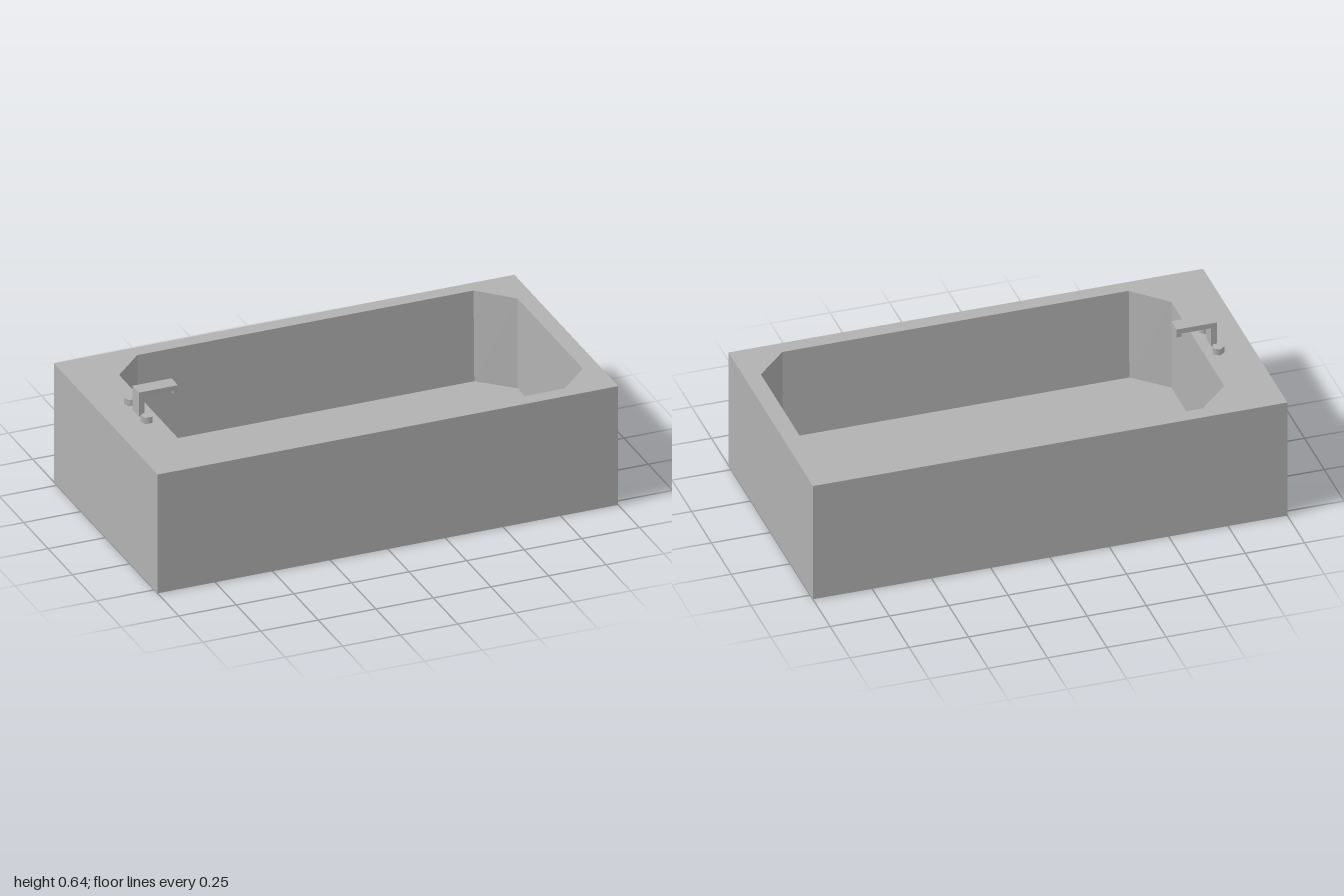
import * as THREE from 'three';

const HEIGHT = 0.533, FLOOR = 0.13;

// Outlines in plan, counter-clockwise, as [x, -z]
const outer = [[-1, -0.533], [1, -0.533], [1, 0.533], [-1, 0.533]];
const basin = (halfWidth) => [
  [-0.665, -halfWidth], [0.795, -halfWidth], [0.93, -0.335], [0.93, 0.335],
  [0.795, halfWidth], [-0.665, halfWidth], [-0.8, 0.335], [-0.8, -0.335],
];
const basinTop = basin(0.468), basinBottom = basin(0.46);

// Wall of flat quads between two outlines
function wall(lower, y0, upper, y1) {
  const pos = [];
  lower.forEach((_, i) => {
    const j = (i + 1) % lower.length;
    const a = [lower[i][0], y0, -lower[i][1]], b = [lower[j][0], y0, -lower[j][1]];
    const c = [upper[j][0], y1, -upper[j][1]], d = [upper[i][0], y1, -upper[i][1]];
    pos.push(...a, ...b, ...c, ...a, ...c, ...d);
  });
  const geo = new THREE.BufferGeometry();
  geo.setAttribute('position', new THREE.Float32BufferAttribute(pos, 3));
  geo.computeVertexNormals();
  return geo;
}

const toShape = (pts) => new THREE.Shape(pts.map(([x, y]) => new THREE.Vector2(x, y)));

// Horizontal plate facing up, or down when flipped
function plate(shape, y, flip = false) {
  return new THREE.ShapeGeometry(shape).rotateX(flip ? Math.PI / 2 : -Math.PI / 2).translate(0, y, 0);
}

export function createModel() {
  const group = new THREE.Group();
  const grey = new THREE.MeshStandardMaterial({ color: 0xb2b2b2 });
  grey.name = 'grey';
  const add = (name, geo) => {
    const mesh = new THREE.Mesh(geo, grey);
    mesh.name = name;
    group.add(mesh);
    return mesh;
  };

  // Tub body
  add('outerPanels', wall(outer, 0, outer, HEIGHT));
  add('base', plate(toShape(outer), 0, true));
  const rim = toShape(outer);
  rim.holes.push(toShape(basinTop));
  add('rim', plate(rim, HEIGHT));

  // Basin: reversed outlines turn the walls inward
  add('basinWalls', wall([...basinBottom].reverse(), FLOOR, [...basinTop].reverse(), HEIGHT));
  add('basinFloor', plate(toShape(basinBottom), FLOOR));

  // Spout: hooked profile extruded across the tub
  const spout = toShape([
    [-0.87, HEIGHT], [-0.845, HEIGHT], [-0.845, 0.617], [-0.72, 0.617],
    [-0.72, 0.603], [-0.7, 0.603], [-0.7, 0.64], [-0.87, 0.64],
  ]);
  add('spout', new THREE.ExtrudeGeometry(spout, { depth: 0.066, bevelEnabled: false }).translate(0, 0, -0.033));

  // Five-sided taps either side of the spout
  for (const [name, side] of [['frontTap', 1], ['backTap', -1]]) {
    const tap = add(name, new THREE.CylinderGeometry(0.026, 0.026, 0.028, 5));
    tap.rotation.y = Math.PI;
    tap.position.set(-0.857, HEIGHT + 0.014, side * 0.085);
  }
  return group;
}
